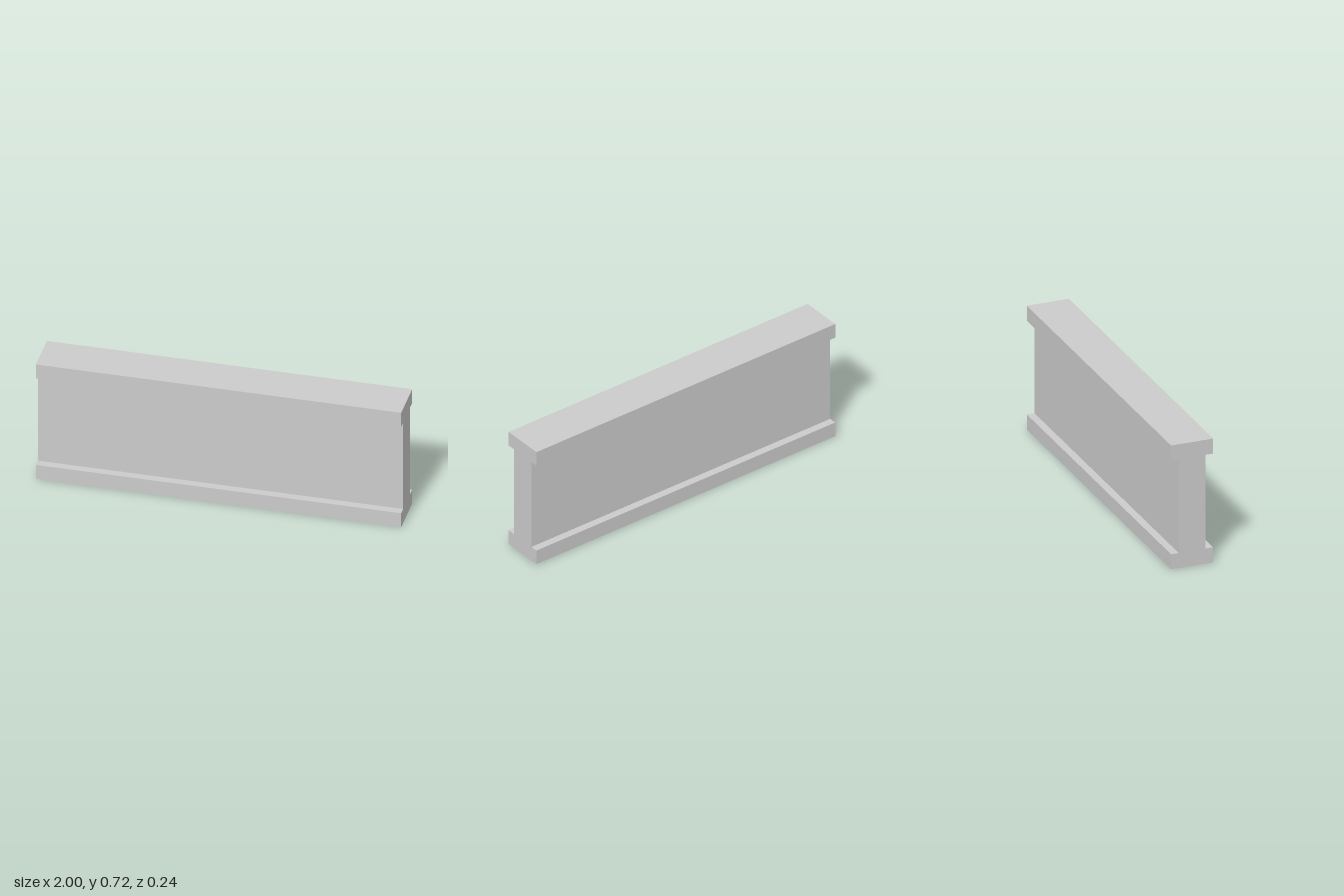
import * as THREE from 'three';

const LENGTH = 2;
const HEIGHT = 0.718;
const FLANGE_HEIGHT = 0.087; // thickness of top and bottom flanges
const FLANGE_HALF = 0.121;   // half width of the flanges
const WEB_HALF = 0.077;      // half thickness of the web

export function createModel() {
  const group = new THREE.Group();
  group.name = 'iBeam';

  // One side of the I-shaped section from bottom to top, mirrored for the other
  const side = [
    [FLANGE_HALF, 0],
    [FLANGE_HALF, FLANGE_HEIGHT],
    [WEB_HALF, FLANGE_HEIGHT],
    [WEB_HALF, HEIGHT - FLANGE_HEIGHT],
    [FLANGE_HALF, HEIGHT - FLANGE_HEIGHT],
    [FLANGE_HALF, HEIGHT],
  ];
  const mirrored = side.map(([w, y]) => [-w, y]).reverse();
  const section = new THREE.Shape([...side, ...mirrored].map(([w, y]) => new THREE.Vector2(w, y)));

  // Extrude the section and lay it along x
  const geometry = new THREE.ExtrudeGeometry(section, { depth: LENGTH, bevelEnabled: false });
  geometry.translate(0, 0, -LENGTH / 2);
  geometry.rotateY(Math.PI / 2);

  const beam = new THREE.Mesh(geometry, new THREE.MeshStandardMaterial({ color: 0xcccccc }));
  beam.name = 'beam';
  group.add(beam);
  return group;
}
